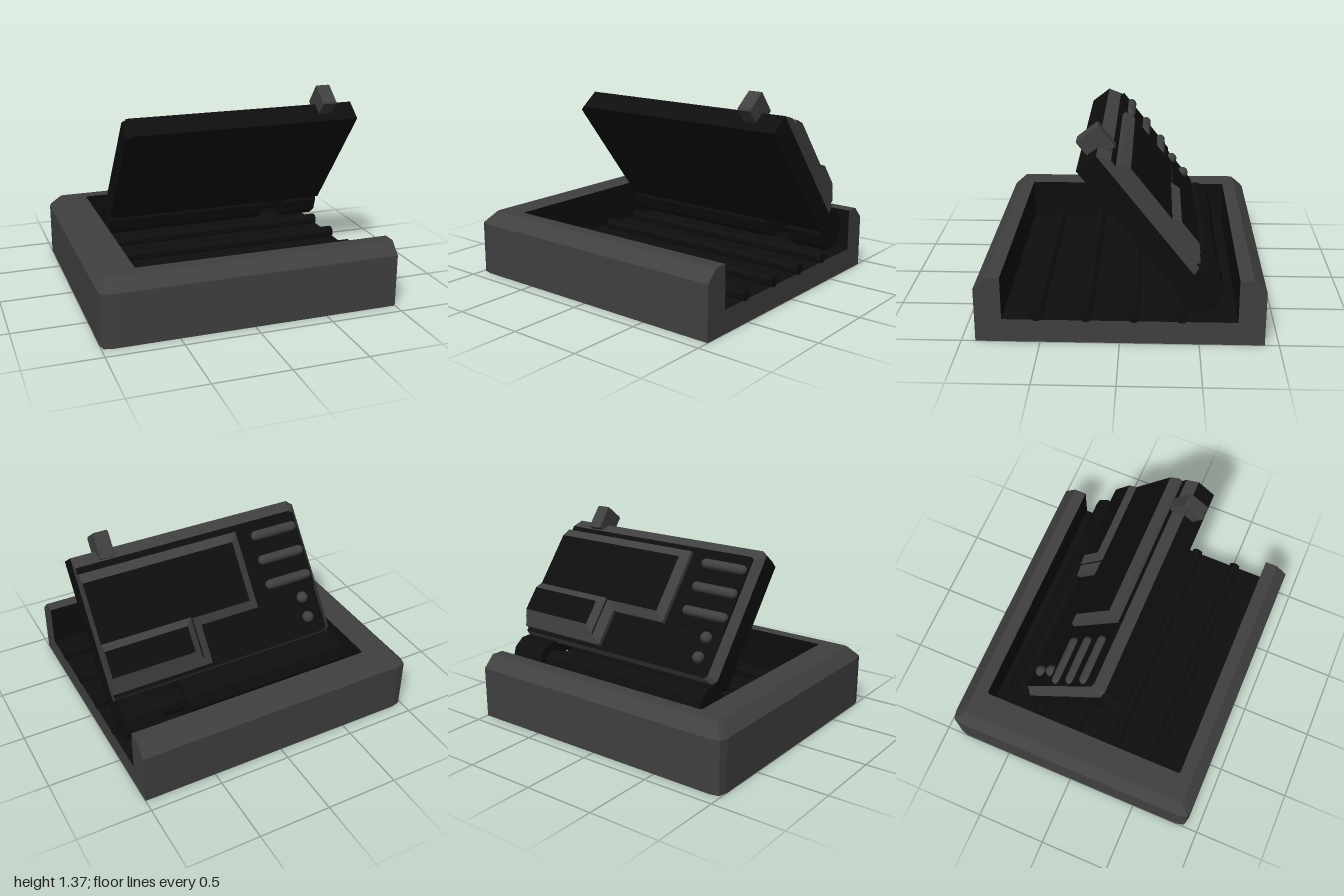
import * as THREE from 'three';

const grey = new THREE.MeshStandardMaterial({ color: 0x404040 });
grey.name = 'casing grey';
const dark = new THREE.MeshStandardMaterial({ color: 0x0e0e0e });
dark.name = 'near black';

function add(parent, name, geometry, material, x = 0, y = 0, z = 0) {
  const mesh = new THREE.Mesh(geometry, material);
  mesh.name = name;
  mesh.position.set(x, y, z);
  parent.add(mesh);
  return mesh;
}

// Flat-shaded faces between matching rows of points
function loft(rows, closed = false) {
  const pos = [];
  for (let r = 0; r < rows.length - 1; r++) {
    const n = rows[r].length;
    for (let i = 0; i < (closed ? n : n - 1); i++) {
      const j = (i + 1) % n;
      const a = rows[r][i], b = rows[r][j], c = rows[r + 1][j], d = rows[r + 1][i];
      pos.push(...a, ...b, ...c, ...a, ...c, ...d);
    }
  }
  const g = new THREE.BufferGeometry();
  g.setAttribute('position', new THREE.Float32BufferAttribute(pos, 3));
  g.computeVertexNormals();
  return g;
}

const shapeOf = (pts) => new THREE.Shape(pts.map(([x, y]) => new THREE.Vector2(x, y)));

// Straight wall from n0 to n1, sloped rim to n2, flat face on top
function raised(parent, name, outer, inner, n0, n1, n2, wall) {
  const g = new THREE.ExtrudeGeometry(shapeOf(outer), { depth: n1 - n0, bevelEnabled: false });
  add(parent, name + 'Body', g, wall, 0, 0, n0);
  const rows = [outer.map(([x, y]) => [x, y, n1]), inner.map(([x, y]) => [x, y, n2])];
  add(parent, name + 'Rim', loft(rows, true), grey);
  add(parent, name + 'Face', new THREE.ShapeGeometry(shapeOf(inner)), dark, 0, 0, n2);
}

// Tray outline, open at x = 1, with clipped corners on the other end
function trayRow(x, z, cx, cz, y) {
  const half = [[1, z], [x + cx, z], [x + cx * 0.2, z - cz * 0.2], [x, z - cz]];
  return [
    ...half.map(([px, pz]) => [px, y, -pz]),
    ...half.reverse().map(([px, pz]) => [px, y, pz]),
  ];
}

function makeTray() {
  const tray = new THREE.Group();
  tray.name = 'tray';
  const lip = trayRow(-0.74, 0.74, 0.02, 0.02, 0.44);
  const bottom = trayRow(-1, 0.91, 0.075, 0.07, 0);
  add(tray, 'trayShell', loft([
    bottom,
    trayRow(-1, 0.91, 0.075, 0.07, 0.36),
    trayRow(-0.925, 0.83, 0.035, 0.035, 0.44),
    lip,
  ]), grey);
  add(tray, 'cavityWalls', loft([lip, trayRow(-0.74, 0.74, 0.02, 0.02, 0.155)]), dark);
  const floor = new THREE.PlaneGeometry(1.74, 1.48).rotateX(-Math.PI / 2);
  add(tray, 'cavityFloor', floor, dark, 0.13, 0.155, 0);

  // underside
  const under = new THREE.ShapeGeometry(shapeOf(bottom.map((p) => [p[0], p[2]])));
  add(tray, 'underside', under.rotateX(Math.PI / 2), dark);

  // U-shaped open end
  const half = [[0.91, 0], [0.91, 0.36], [0.83, 0.44], [0.74, 0.44], [0.74, 0.155]];
  const u = [...half, ...half.map(([z, y]) => [-z, y]).reverse()];
  add(tray, 'openEnd', new THREE.ShapeGeometry(shapeOf(u)).rotateY(Math.PI / 2), grey, 1, 0, 0);

  // floor ribs
  for (const z of [0.52, 0.21, -0.09, -0.39]) {
    const rib = new THREE.CylinderGeometry(0.04, 0.04, 1.69, 8).toNonIndexed();
    rib.rotateY(Math.PI / 8).rotateZ(Math.PI / 2).computeVertexNormals();
    add(tray, 'floorRib', rib, dark, 0.1555, 0.182, z);
  }
  return tray;
}

function makeHinge() {
  const hinge = new THREE.Group();
  hinge.name = 'hinge';
  for (const [x0, x1, r] of [[-0.65, 0.55, 0.135], [0.55, 0.73, 0.08], [0.73, 0.99, 0.145]]) {
    const g = new THREE.CylinderGeometry(r, r, x1 - x0, 10).toNonIndexed();
    g.rotateZ(Math.PI / 2).computeVertexNormals();
    add(hinge, 'hingeBarrel', g, dark, (x0 + x1) / 2, 0.355, -0.5);
  }
  return hinge;
}

// Tilted panel: local x runs to the model's right, y up the slope, z out of its back
function makePanel() {
  const panel = new THREE.Group();
  panel.name = 'tiltedPanel';
  const up = new THREE.Vector3(0, 0.787, 0.617).normalize();
  const right = new THREE.Vector3(-1, 0, 0);
  const out = new THREE.Vector3().crossVectors(right, up);
  panel.quaternion.setFromRotationMatrix(new THREE.Matrix4().makeBasis(right, up, out));
  panel.position.set(0, 1.14, 0.254);

  raised(panel, 'panel',
    [[-1, -0.96], [0.62, -0.96], [0.65, -0.93], [0.65, -0.035], [0.61, 0], [-1, 0]],
    [[-1, -0.94], [0.58, -0.94], [0.6, -0.92], [0.6, -0.095], [0.58, -0.075], [-1, -0.075]],
    0, 0.152, 0.205, dark);

  // stepped screen housing and the smaller display on it
  raised(panel, 'screen',
    [[-1, -0.915], [-0.3, -0.915], [-0.3, -0.655], [0.13, -0.655], [0.13, -0.12], [-1, -0.12]],
    [[-1, -0.86], [-0.36, -0.86], [-0.36, -0.595], [0.07, -0.595], [0.07, -0.184], [-1, -0.184]],
    0.2, 0.235, 0.268, grey);
  raised(panel, 'smallDisplay',
    [[-1, -0.86], [-0.37, -0.86], [-0.37, -0.586], [-1, -0.586]],
    [[-1, -0.81], [-0.42, -0.81], [-0.42, -0.634], [-1, -0.634]],
    0.26, 0.272, 0.303, grey);

  // control plate with three bars and two round buttons
  add(panel, 'controlPlate', new THREE.BoxGeometry(0.38, 0.54, 0.02), dark, 0.41, -0.36, 0.21);
  for (const y of [-0.183, -0.356, -0.53]) {
    const bar = new THREE.CapsuleGeometry(0.034, 0.285, 6, 14).rotateZ(Math.PI / 2);
    add(panel, 'controlBar', bar, grey, 0.415, y, 0.222);
  }
  for (const y of [-0.68, -0.82]) {
    add(panel, 'roundButton', new THREE.SphereGeometry(0.04, 16, 10), grey, 0.485, y, 0.21);
  }

  // latch on the upper edge
  const latchShape = shapeOf([[-0.06, 0.07], [0.1, 0.07], [0.107, 0.077], [0.107, 0.223],
    [0.1, 0.23], [-0.06, 0.23]]);
  const latch = new THREE.ExtrudeGeometry(latchShape, {
    depth: 0.09, bevelSize: 0.005, bevelThickness: 0.005, bevelSegments: 1,
  });
  latch.applyMatrix4(new THREE.Matrix4().makeBasis(
    new THREE.Vector3(0, 1, 0), new THREE.Vector3(0, 0, 1), new THREE.Vector3(1, 0, 0)));
  add(panel, 'latch', latch, grey, -0.825, 0, 0);
  return panel;
}

export function createModel() {
  const model = new THREE.Group();
  model.name = 'trayWithTiltedPanel';
  model.add(makeTray(), makeHinge(), makePanel());
  return model;
}
